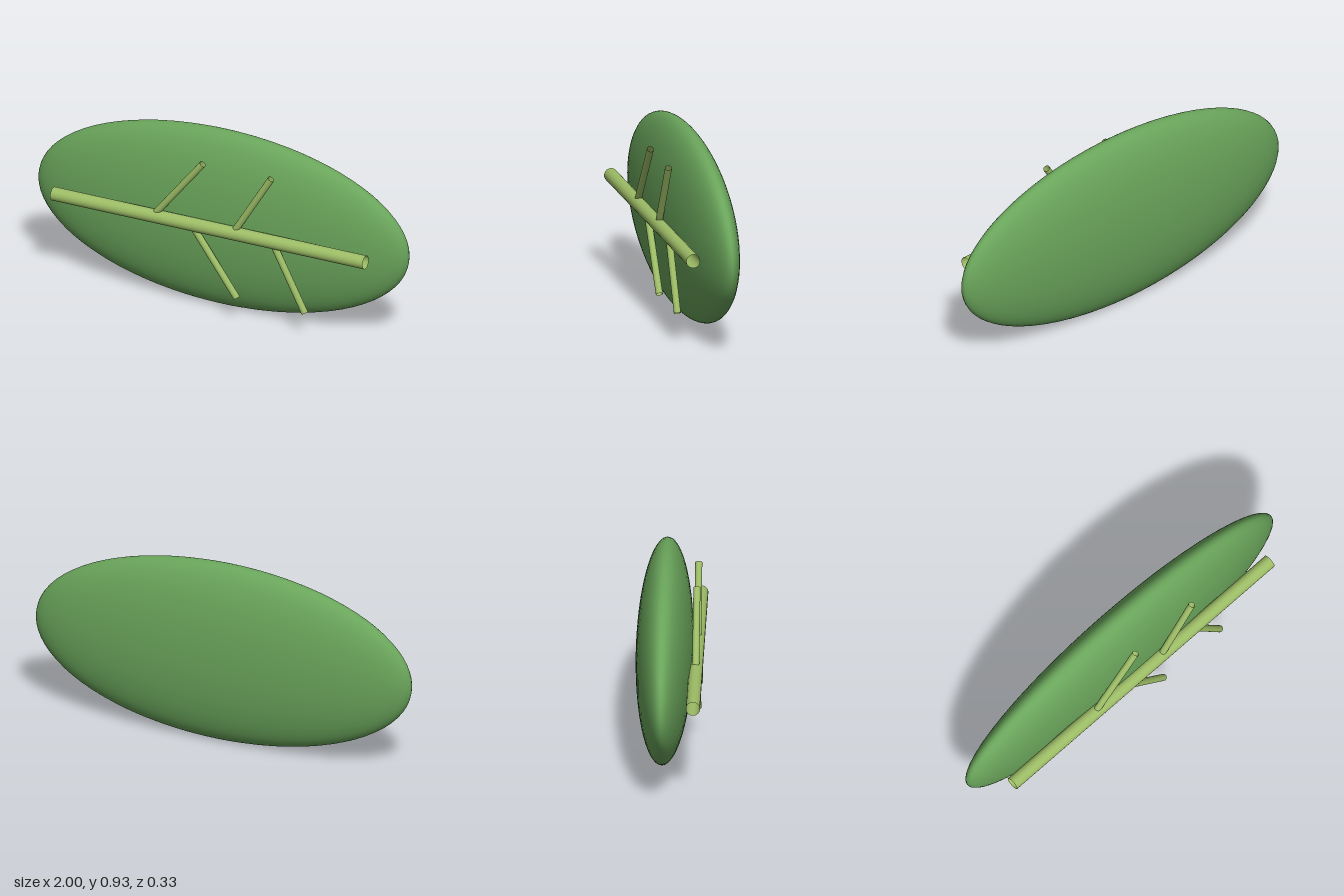
import * as THREE from 'three';

const CENTER_Y = 0.466;
const VEIN_Z = 0.13;

export function createModel() {
  const model = new THREE.Group();
  model.name = 'leaf';

  const leafGreen = new THREE.MeshStandardMaterial({ color: 0x6aa55b });
  leafGreen.name = 'leaf green';
  // The veins are open tubes, so both sides show
  const veinGreen = new THREE.MeshStandardMaterial({ color: 0x9dbd66, side: THREE.DoubleSide });
  veinGreen.name = 'vein green';

  // Blade: a flattened ellipsoid
  const bladeGeometry = new THREE.SphereGeometry(1, 64, 40);
  bladeGeometry.scale(1, 0.465, 0.1385);
  const blade = new THREE.Mesh(bladeGeometry, leafGreen);
  blade.name = 'blade';
  blade.position.set(0, CENTER_Y, -0.026);
  model.add(blade);

  // Open tube between two points in the vein plane
  function addVein(name, x1, y1, x2, y2, radius) {
    const path = new THREE.LineCurve3(
      new THREE.Vector3(x1, y1, VEIN_Z),
      new THREE.Vector3(x2, y2, VEIN_Z)
    );
    const vein = new THREE.Mesh(new THREE.TubeGeometry(path, 4, radius, 20), veinGreen);
    vein.name = name;
    model.add(vein);
  }

  // Midrib along the blade
  addVein('midrib', -0.843, 0.47, 0.843, 0.47, 0.034);

  // Side veins, alternating above and below: start x, end x, end y
  const sideVeins = [
    [-0.305, -0.036, 0.805],
    [-0.097, 0.147, 0.128],
    [0.127, 0.333, 0.805],
    [0.34, 0.514, 0.128],
  ];
  sideVeins.forEach(([x1, x2, y2], i) =>
    addVein(`sideVein${i + 1}`, x1, 0.47, x2, y2, 0.017));

  return model;
}
